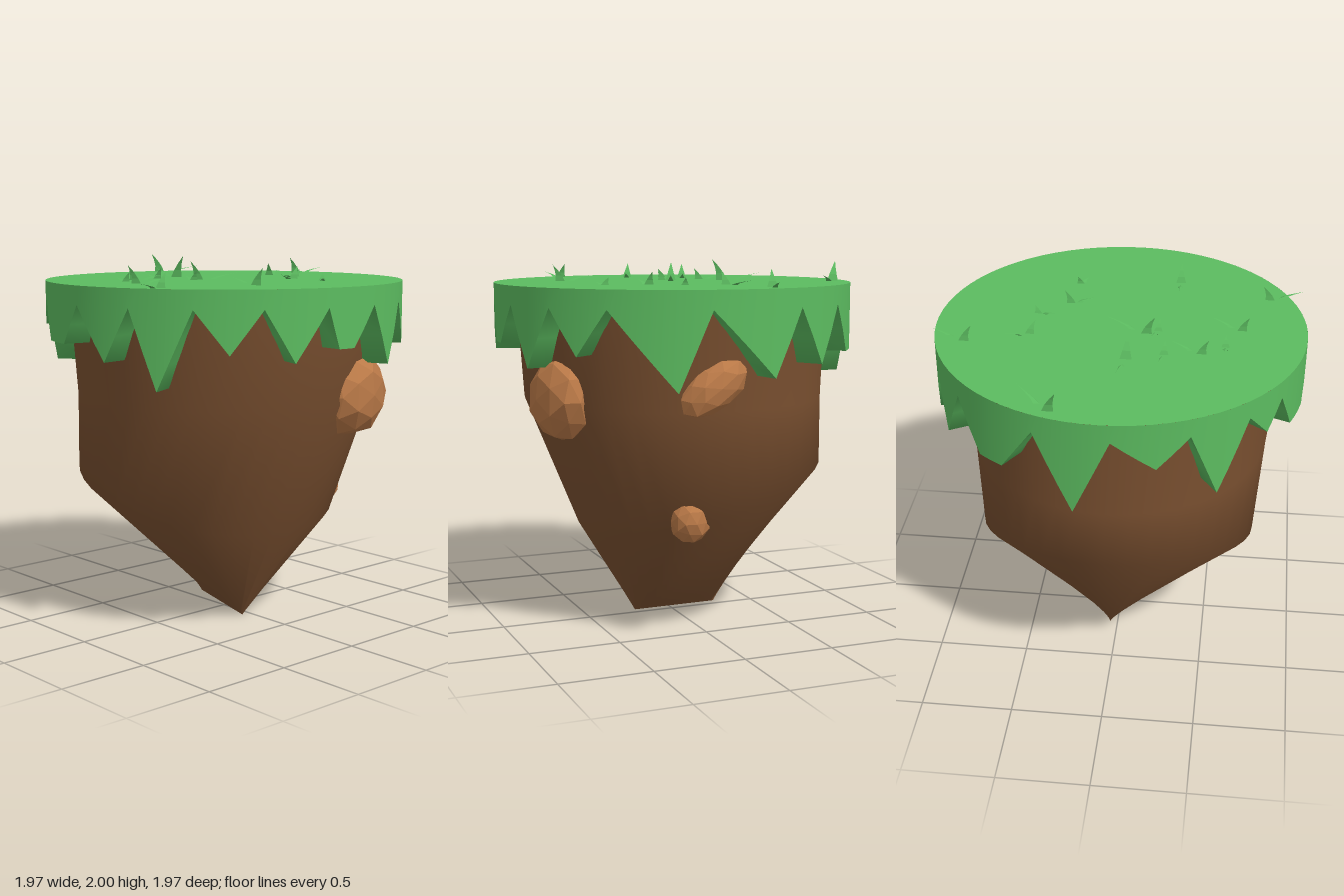
import * as THREE from 'three';

const RIM = 0.985, TOP = 1.88, NOTCH = 1.78;
const grass = new THREE.MeshStandardMaterial({ color: 0x5cbc60, side: THREE.DoubleSide });
const grassBlade = new THREE.MeshStandardMaterial({ color: 0x5cbc60, flatShading: true, side: THREE.DoubleSide });
const soil = new THREE.MeshStandardMaterial({ color: 0x7a5030, side: THREE.DoubleSide });
const stone = new THREE.MeshStandardMaterial({ color: 0xbb7a48, flatShading: true });

// Skin between rows of points, listed bottom to top, each running counter-clockwise from above
function loft(rows) {
  const n = rows[0].length, index = [];
  for (let r = 0; r < rows.length - 1; r++) {
    for (let i = 0; i < n; i++) {
      const j = (i + 1) % n, a = r * n + i, b = r * n + j;
      index.push(a, b, b + n, a, b + n, a + n);
    }
  }
  const geo = new THREE.BufferGeometry();
  geo.setAttribute('position', new THREE.Float32BufferAttribute(rows.flat(2), 3));
  geo.setIndex(index);
  geo.computeVertexNormals();
  return geo;
}

function add(parent, name, geo, mat) {
  const mesh = new THREE.Mesh(geo, mat);
  mesh.name = name;
  parent.add(mesh);
  return mesh;
}

// Soil: round top, slanted shoulder, and a short keel at the bottom
function soilGeometry() {
  const angles = Array.from({ length: 40 }, (_, i) => i / 40 * Math.PI * 2);
  const ring = (y, tilt, rx, front, back) => angles.map(a => {
    const z = (front + back) / 2 + (front - back) / 2 * Math.cos(a);
    return [rx * Math.sin(a), y + tilt * z, z];
  });
  const keel = angles.map(a => {
    const c = Math.cos(a);
    return [-0.005 - 0.045 * c, 0.015 - 0.015 * c, -0.015 + 0.225 * c];
  });
  return loft([
    keel,
    ring(0.68, -0.29, 0.757, 0.53, -0.83),
    ring(1.25, 0, 0.805, 0.83, -0.835),
    ring(1.87, 0, 0.87, 0.87, -0.85),
  ]);
}

// Turf edge: notch angles in degrees, each followed by its tooth tips [angle, y]
const teeth = [
  [-10, [-6, 1.57], [0, 1.57]], [9.5, [19, 1.46]], [29, [39, 1.54]], [49, [70, 1.37]],
  [80, [100, 1.43]], [110, [120, 1.48]], [130, [140, 1.52], [149, 1.52]], [160, [172, 1.36]],
  [183, [196, 1.62]], [206, [215, 1.41]], [226, [234, 1.64]], [241, [248, 1.57], [260, 1.57]],
  [268, [280, 1.5]], [289, [298, 1.37]], [309, [319.5, 1.555]], [329.5, [339, 1.51]],
];

function turfRows() {
  const keys = teeth.flatMap(([notch, ...tips]) => [[notch, NOTCH], ...tips]);
  keys.push([350, NOTCH]);
  const edge = [];
  for (let k = 0; k < keys.length - 1; k++) {
    const [a, ya] = keys[k], [b, yb] = keys[k + 1];
    const steps = Math.ceil((b - a) / 5);
    for (let s = 0; s < steps; s++) edge.push([a + (b - a) * s / steps, ya + (yb - ya) * s / steps]);
  }
  const row = (r, level) => edge.map(([deg, y]) => {
    const a = THREE.MathUtils.degToRad(deg);
    return [r * Math.sin(a), level ?? y, r * Math.cos(a)];
  });
  return { inner: row(0.8), lower: row(RIM), upper: row(RIM, TOP) };
}

// Faceted rock with a repeatable unevenness
function rockGeometry(rx, ry, rz, seed) {
  const geo = new THREE.IcosahedronGeometry(1, 1);
  const p = geo.attributes.position, v = new THREE.Vector3();
  for (let i = 0; i < p.count; i++) {
    v.fromBufferAttribute(p, i);
    const bump = 1 + 0.06 * Math.sin(v.x * 5 + seed) * Math.cos(v.y * 4 + v.z * 3 + seed);
    p.setXYZ(i, v.x * rx * bump, v.y * ry * bump, v.z * rz * bump);
  }
  geo.computeVertexNormals();
  return geo;
}

// Tapering three-sided blade that bends towards (dx, dz)
function bladeGeometry(width, height, dx, dz) {
  const geo = new THREE.ConeGeometry(width, height, 3, 3, true).translate(0, height / 2, 0);
  const p = geo.attributes.position;
  for (let i = 0; i < p.count; i++) {
    const t = Math.max(0, p.getY(i) / height) ** 1.6;
    p.setX(i, p.getX(i) + dx * t);
    p.setZ(i, p.getZ(i) + dz * t);
  }
  geo.computeVertexNormals();
  return geo;
}

// Tufts: x, z, height of the upright blade, then the tip of the low blade
const tufts = [
  [0.26, -0.87, 0.11, 0.44, -0.71], [0.80, -0.23, 0.09, 0.98, -0.18], [0.47, -0.12, 0.07, 0.61, -0.20],
  [-0.06, -0.33, 0.12, -0.03, -0.57], [-0.14, -0.05, 0.10, 0.08, 0.04], [-0.44, -0.24, 0.08, -0.28, -0.18],
  [-0.56, -0.16, 0.05, -0.56, -0.25], [-0.64, 0.03, 0.08, -0.48, 0.10], [-0.78, 0.40, 0.08, -0.96, 0.45],
  [-0.28, 0.56, 0.09, -0.28, 0.38], [0.30, 0.25, 0.07, 0.17, 0.27], [0.28, 0.49, 0.04, 0.24, 0.53],
  [0.46, 0.11, 0.04, 0.36, 0.08], [-0.25, -0.27, 0.06, -0.23, -0.40], [-0.20, -0.02, 0.05, -0.17, -0.13],
];

export function createModel() {
  const model = new THREE.Group();
  model.name = 'floatingIsland';

  add(model, 'soil', soilGeometry(), soil);

  // Turf cap: flat top, jagged hanging edge, and its underside
  const turf = new THREE.Group();
  turf.name = 'turf';
  model.add(turf);
  const { inner, lower, upper } = turfRows();
  add(turf, 'turfTop', new THREE.CircleGeometry(RIM, 72).rotateX(-Math.PI / 2).translate(0, TOP, 0), grass);
  add(turf, 'turfEdge', loft([lower, upper]), grass);
  add(turf, 'turfUnderside', loft([inner, lower]), grass);

  // Rocks set into the soil
  const frontRock = add(model, 'frontRock', rockGeometry(0.235, 0.23, 0.15, 1), stone);
  frontRock.position.set(0.26, 1.29, 0.735);
  frontRock.rotation.y = 0.15;
  const sideRock = add(model, 'sideRock', rockGeometry(0.10, 0.12, 0.21, 2.4), stone);
  sideRock.position.set(0.79, 1.38, 0.085);
  sideRock.rotation.x = 0.65;
  const lowRock = add(model, 'lowRock', rockGeometry(0.10, 0.12, 0.11, 4), stone);
  lowRock.position.set(0.635, 0.66, 0.155);

  // Grass tufts: one upright blade and one low trailing blade each
  for (const [x, z, height, tipX, tipZ] of tufts) {
    const tuft = new THREE.Group();
    tuft.name = 'grassTuft';
    tuft.position.set(x, TOP, z);
    const dx = tipX - x, dz = tipZ - z, len = Math.hypot(dx, dz);
    const lean = -0.5 * height / len;
    add(tuft, 'uprightBlade', bladeGeometry(0.15 * height + 0.018, height, dx * lean, dz * lean), grassBlade);
    const low = add(tuft, 'lowBlade', bladeGeometry(0.018, height * 0.35, dx * 0.65, dz * 0.65), grassBlade);
    low.position.set(dx * 0.35, 0, dz * 0.35);
    model.add(tuft);
  }
  return model;
}
